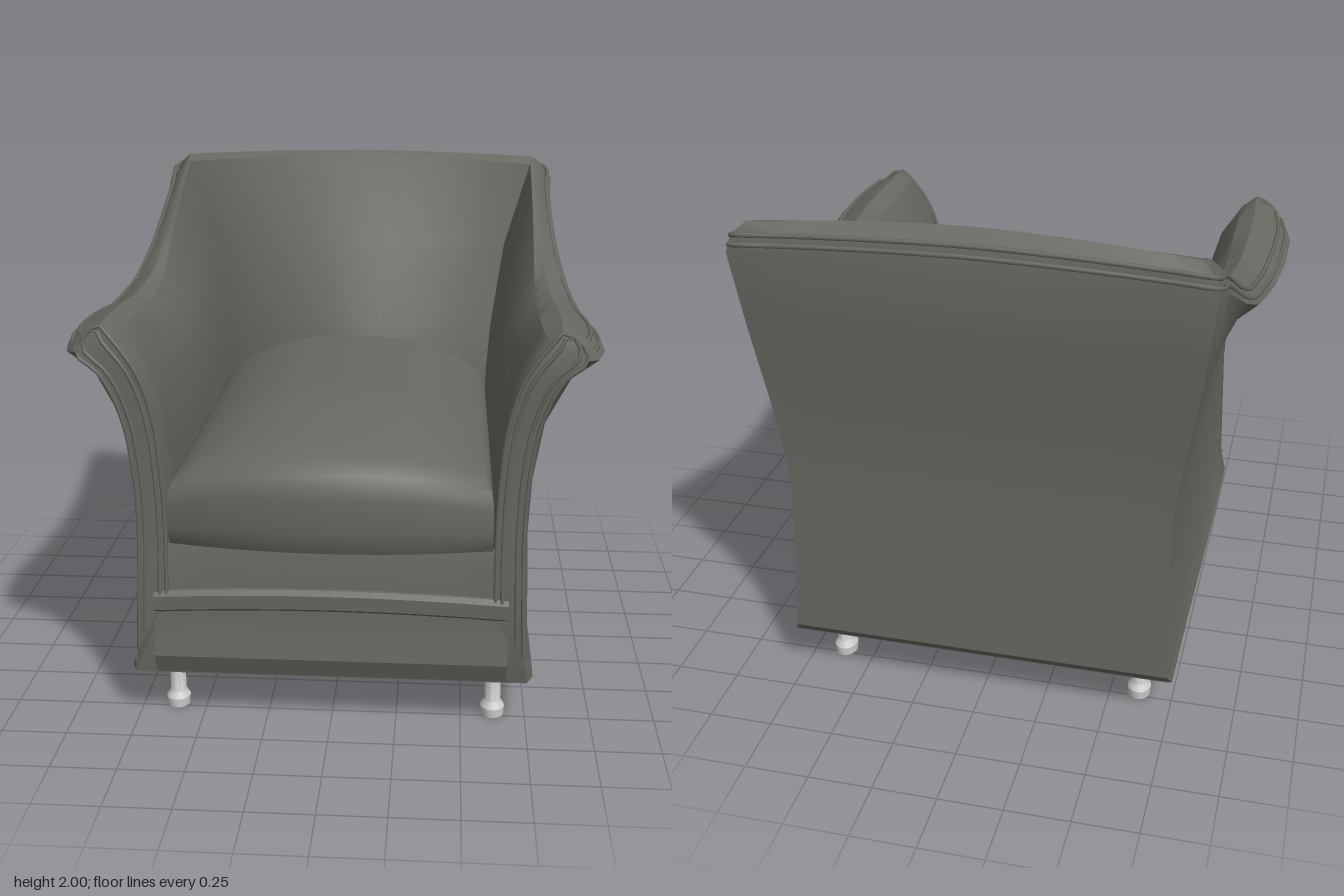
import * as THREE from 'three';
import { toCreasedNormals } from 'three/addons/utils/BufferGeometryUtils.js';

const fabric = new THREE.MeshStandardMaterial({ color: 0x686862 });
const metal = new THREE.MeshStandardMaterial({ color: 0xcccccc });
const lerp = THREE.MathUtils.lerp;
const V = (x, y, z) => new THREE.Vector3(x, y, z);

// Arm section at the front: up the outside, over the top, down the inside
const FRONT = [
  [0.775, 0.2, 0.855], [0.745, 0.28, 0.885], [0.732, 0.8, 0.86], [0.742, 1.0, 0.86],
  [0.78, 1.22, 0.865], [0.88, 1.39, 0.88], [1.0, 1.46, 0.88], [0.945, 1.525, 0.865],
  [0.84, 1.57, 0.86], [0.77, 1.54, 0.87], [0.69, 1.4, 0.875], [0.64, 1.22, 0.865],
  [0.615, 1.0, 0.86], [0.605, 0.8, 0.86], [0.605, 0.55, 0.865], [0.6, 0.2, 0.855],
];
// Mitred section at the rear corner
const CORNER = [
  [0.765, 0.2, -0.89], [0.75, 0.24, -0.92], [0.735, 0.8, -0.9], [0.745, 1.0, -0.903],
  [0.78, 1.22, -0.912], [0.83, 1.55, -0.952], [0.868, 1.86, -0.99], [0.85, 1.925, -0.982],
  [0.8, 1.97, -0.95], [0.785, 1.945, -0.87], [0.675, 1.58, -0.83], [0.622, 1.22, -0.77],
  [0.605, 1.0, -0.74], [0.6, 0.8, -0.73], [0.6, 0.55, -0.73], [0.6, 0.2, -0.73],
];
// Forward bulge of the backrest at its middle, per section point
const BULGE = [0, 0, 0, 0, 0, 0, 0, 0.01, 0.05, 0, 0.09, 0.18, 0.19, 0.19, 0.19, 0.19];
// Stations along an arm: distance back, blend of height, blend of flare
const ARM = [
  [0.03, 0, 0.28], [0.12, -0.02, 0], [0.25, -0.04, 0], [0.37, -0.07, 0.18], [0.45, -0.03, 0.32],
  [0.54, 0.04, 0.48], [0.65, 0.26, 0.72], [0.76, 0.54, 0.9], [0.88, 0.8, 0.96], [1, 1, 1],
];
const N = FRONT.length;

const armSection = ([u, wy, wx]) => FRONT.map((f, i) => {
  const c = CORNER[i];
  return V(lerp(f[0], c[0], wx), lerp(f[1], c[1], wy), lerp(f[2], c[2], u));
});
const backSection = (s) => CORNER.map(([x, y, z], i) => {
  const k = 1 - Math.pow(Math.abs(s), 1.7);
  return V(x * s, y + (i > 5 && i < 10 ? 0.03 * k : 0), z + BULGE[i] * k);
});
// Pull both faces of a section towards each other
const shrink = (sec, t) => sec.map((p, i) => p.clone().lerp(sec[N - 1 - i], t));
const mirror = (sec) => sec.map((p) => V(-p.x, p.y, p.z));

const frontSection = armSection([0, 0, 0.45]);

// All sections round the U of arm, back, arm
function shellSections() {
  const arm = [shrink(frontSection, 0.12), ...ARM.map(armSection)];
  const back = [0.8, 0.6, 0.4, 0.2, 0, -0.2, -0.4, -0.6, -0.8].map(backSection);
  return [...arm, ...back, ...arm.map(mirror).reverse()];
}

function shellGeometry(sections) {
  const pos = [], idx = [], last = sections.length - 1;
  sections.forEach((s) => s.forEach((p) => pos.push(p.x, p.y, p.z)));
  const at = (j, i) => j * N + i;
  const quad = (a, b, c, d) => idx.push(a, b, d, b, c, d);
  for (let j = 0; j < last; j++)
    for (let i = 0; i < N - 1; i++)
      quad(at(j, i), at(j + 1, i), at(j + 1, i + 1), at(j, i + 1));
  // Front faces of both arms
  for (let i = 0; i < N / 2 - 1; i++) {
    const o = N - 1 - i;
    quad(at(0, i), at(0, i + 1), at(0, o - 1), at(0, o));
    quad(at(last, o), at(last, o - 1), at(last, i + 1), at(last, i));
  }
  const g = new THREE.BufferGeometry();
  g.setAttribute('position', new THREE.Float32BufferAttribute(pos, 3));
  g.setIndex(idx);
  return toCreasedNormals(g, 0.55);
}

// Side profile of [z, y] points drawn across the width
function acrossWidth(points, width) {
  const shape = new THREE.Shape(points.map(([z, y]) => new THREE.Vector2(-z, y)));
  const g = new THREE.ExtrudeGeometry(shape, { depth: width, steps: 8, bevelEnabled: false });
  g.translate(0, 0, -width / 2).rotateY(Math.PI / 2);
  // Raise the middle of the upper lines slightly
  const p = g.attributes.position;
  for (let i = 0; i < p.count; i++)
    if (p.getY(i) > 0.4) p.setY(i, p.getY(i) + 0.02 * (1 - Math.pow(2 * p.getX(i) / width, 2)));
  return toCreasedNormals(g, 0.5);
}

// Crowned seat cushion with a bowed front
function cushionGeometry() {
  const g = new THREE.BoxGeometry(1, 1, 1, 16, 8, 16);
  const p = g.attributes.position;
  for (let i = 0; i < p.count; i++) {
    const nx = p.getX(i) * 2, v = p.getY(i) + 0.5, w = p.getZ(i) + 0.5;
    const bow = 1 - nx * nx;
    const crown = 1 - Math.pow(Math.abs(nx), 2.5);
    const edge = 0.1 * Math.pow(v, 9) + 0.03 * Math.pow(1 - v, 8);
    const z = lerp(-0.74, 0.88 + 0.12 * bow - edge, w);
    const rise = 0.5 + 0.5 * Math.pow(Math.min(1, (1 - w) * 3), 0.7);
    const top = 1.0 + 0.19 * crown * rise;
    const bottom = 0.73 + 0.02 * bow;
    p.setXYZ(i, nx * (0.605 - 0.035 * Math.pow(v, 8)), lerp(bottom, top, v), z);
  }
  return toCreasedNormals(g, 0.7);
}

const cord = (points, r) =>
  new THREE.TubeGeometry(new THREE.CatmullRomCurve3(points, false, 'centripetal'), points.length * 4, r, 6);

export function createModel() {
  const model = new THREE.Group();
  const add = (name, geometry, material = fabric) => {
    const mesh = new THREE.Mesh(geometry, material);
    mesh.name = name;
    model.add(mesh);
    return mesh;
  };

  // Arms and back in one upholstered shell
  const sections = shellSections();
  add('armsAndBack', shellGeometry(sections));

  // Two cords along the rim
  for (const t of [0.45, 1])
    add('rimPiping', cord(sections.slice(1, -1).map((s) => s[6].clone().lerp(s[7], t)), 0.009));

  // Cords outlining the arm fronts
  for (const t of [0.12, 0.3]) {
    const line = shrink(frontSection, t).slice(1, N - 1);
    add('leftArmPiping', cord(line, 0.008));
    add('rightArmPiping', cord(mirror(line), 0.008));
  }

  // Base, front apron with its raised band, and seat deck
  add('base', acrossWidth([[-0.89, 0.197], [0.855, 0.197], [0.86, 0.27], [-0.9, 0.27]], 1.5));
  add('frontApron', acrossWidth([
    [0.5, 0.2], [0.855, 0.2], [0.887, 0.28], [0.872, 0.38], [0.868, 0.455], [0.878, 0.465],
    [0.88, 0.52], [0.868, 0.54], [0.5, 0.54],
  ], 1.34));
  add('seatDeck', acrossWidth([[-0.8, 0.25], [0.85, 0.25], [0.855, 0.66], [0.84, 0.73], [-0.8, 0.73]], 1.24));
  add('seatCushion', cushionGeometry());

  // Legs with a wider foot
  const profile = [[0, 0], [0.045, 0], [0.047, 0.035], [0.034, 0.055], [0.031, 0.06], [0.031, 0.21]]
    .map(([x, y]) => new THREE.Vector2(x, y));
  const leg = toCreasedNormals(new THREE.LatheGeometry(profile, 16), 0.6);
  for (const x of [-0.615, 0.625])
    for (const z of [-0.72, 0.72]) {
      const m = add(`${z > 0 ? 'front' : 'back'}${x > 0 ? 'Left' : 'Right'}Leg`, leg, metal);
      m.position.set(x, 0, z);
      m.scale.z = 1.15;
    }
  return model;
}
